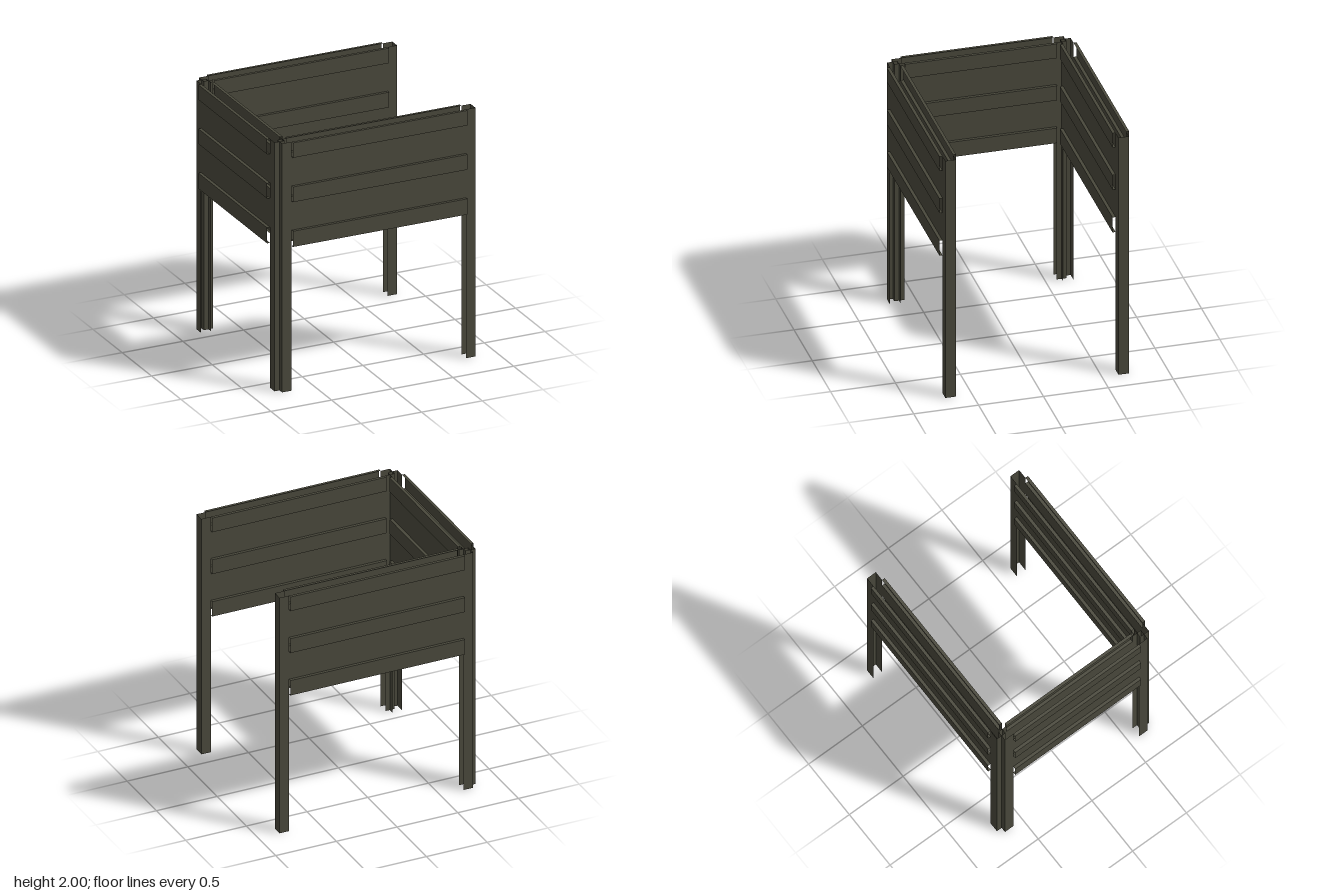
import * as THREE from 'three';

const HEIGHT = 2, HALF_DEPTH = 0.04, LEG = 0.077, RIB = 0.024;

// Open folded sheet: a path of points swept along a vector
function sheet(path, sweep) {
  const pos = [];
  const s = new THREE.Vector3(...sweep);
  for (let i = 0; i < path.length - 1; i++) {
    const a = new THREE.Vector3(...path[i]);
    const b = new THREE.Vector3(...path[i + 1]);
    const c = b.clone().add(s), d = a.clone().add(s);
    for (const v of [a, b, c, a, c, d]) pos.push(v.x, v.y, v.z);
  }
  const geo = new THREE.BufferGeometry();
  geo.setAttribute('position', new THREE.Float32BufferAttribute(pos, 3));
  geo.computeVertexNormals();
  return geo;
}

// One wall: two U-channel legs and two ribbed skins, facing local +z
function makeWall(name, half, material) {
  const wall = new THREE.Group();
  wall.name = name;
  const inner = half - LEG, d = HALF_DEPTH;

  // Skin profile with three ribs standing proud, open at the ends
  const profile = [];
  for (const [y0, y1] of [[1.164, 1.29], [1.524, 1.646], [1.88, HEIGHT]]) {
    for (const [y, z] of [[y0, d], [y0, d + RIB], [y1, d + RIB], [y1, d]]) profile.push([inner, y, z]);
  }
  const skinGeo = sheet(profile, [-2 * inner, 0, 0]);

  // Leg channel, open towards the panel
  const legGeo = sheet([[inner, 0, d], [half, 0, d], [half, 0, -d], [inner, 0, -d]], [0, HEIGHT, 0]);

  [['outer', 'left', 0], ['inner', 'right', Math.PI]].forEach(([face, side, turn]) => {
    const skin = new THREE.Mesh(skinGeo, material);
    skin.name = face + 'RibbedSkin';
    const leg = new THREE.Mesh(legGeo, material);
    leg.name = side + 'ChannelLeg';
    skin.rotation.y = leg.rotation.y = turn;
    wall.add(skin, leg);
  });
  return wall;
}

export function createModel() {
  const model = new THREE.Group();
  model.name = 'threeSidedPanelEnclosure';
  const metal = new THREE.MeshStandardMaterial({ color: 0x4a493c, side: THREE.DoubleSide });
  metal.name = 'darkOliveMetal';

  // Front and back walls
  const front = makeWall('frontWall', 0.796, metal);
  front.position.set(0.03, 0, 0.667);
  const back = makeWall('backWall', 0.796, metal);
  back.position.set(0.03, 0, -0.667);
  back.rotation.y = Math.PI;

  // Side wall joining them; the opposite side stays open
  const side = makeWall('sideWall', 0.663, metal);
  side.position.set(-0.767, 0, 0);
  side.rotation.y = -Math.PI / 2;

  model.add(front, back, side);
  return model;
}
